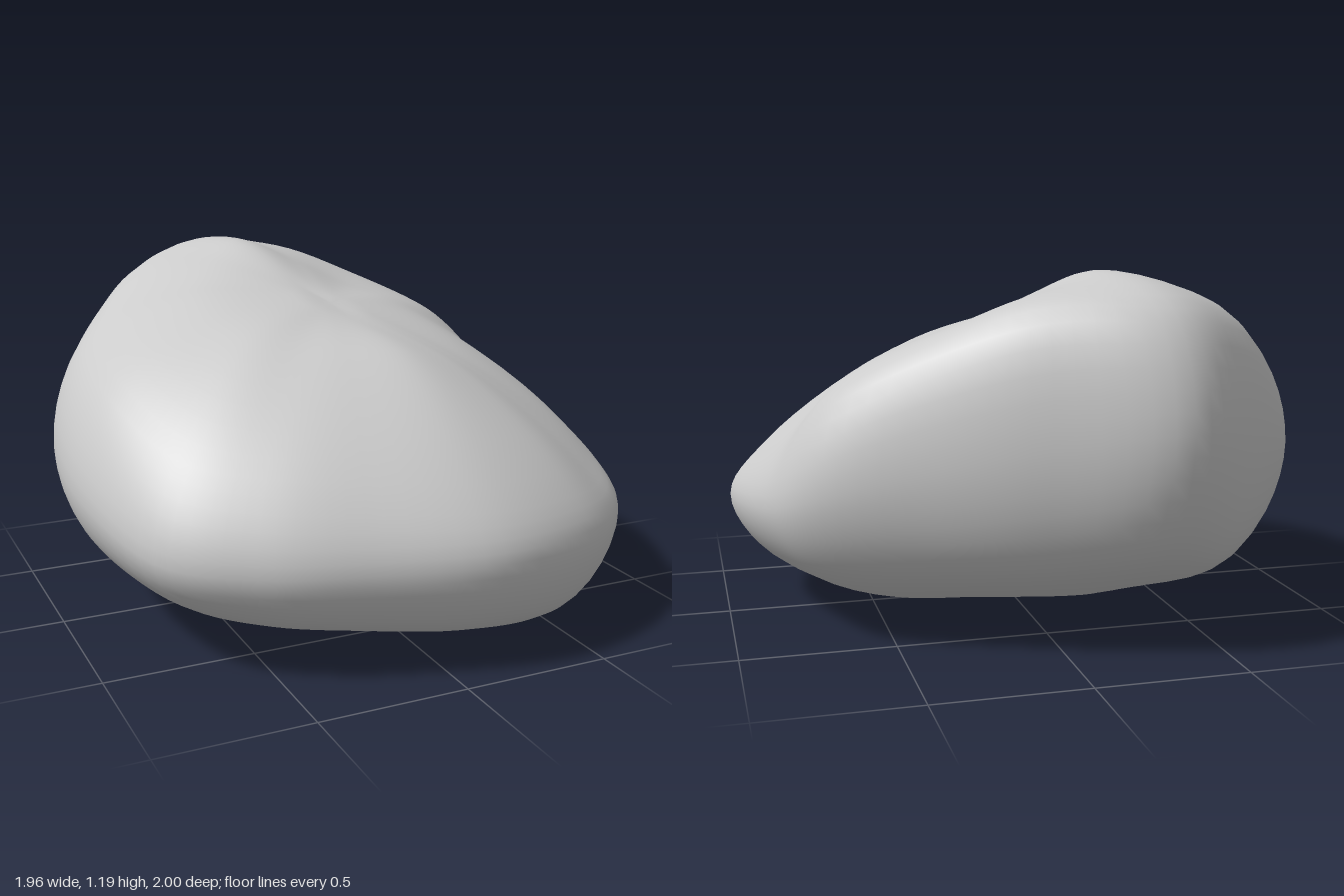
import * as THREE from 'three';
import { mergeVertices } from 'three/addons/utils/BufferGeometryUtils.js';

// Middle of the top and of the underside: height and slope along x and z
const CREST = { y: 1.03, slopeX: -0.2, slopeZ: -0.2 };
const BASE = { y: 0.05, slopeX: -0.05, slopeZ: -0.08 };
const CAP = 0.14, INNER = 0.5, OUTER = 0.88; // positions between middle and rim

// Columns round the stone: rim x, rim z, then heights from top to bottom:
// inner top, outer top, rim, outer underside, inner underside
const COLUMNS = [
  [0.98, 0.1, 0.86, 0.58, 0.40, 0.20, 0.06],
  [0.9, 0.45, 0.82, 0.53, 0.37, 0.17, 0.035],
  [0.75, 0.7, 0.83, 0.53, 0.36, 0.10, 0.015],
  [0.5, 0.9, 0.87, 0.58, 0.37, 0.10, 0.01],
  [0.12, 1.0, 0.92, 0.61, 0.39, 0.15, 0.025],
  [-0.3, 0.91, 0.94, 0.64, 0.39, 0.18, 0.05],
  [-0.6, 0.8, 0.95, 0.66, 0.39, 0.20, 0.07],
  [-0.85, 0.6, 0.98, 0.70, 0.41, 0.23, 0.09],
  [-0.97, 0.2, 1.02, 0.82, 0.50, 0.26, 0.11],
  [-0.95, -0.22, 1.06, 0.88, 0.56, 0.26, 0.11],
  [-0.84, -0.48, 1.09, 0.95, 0.60, 0.26, 0.12],
  [-0.6, -0.77, 1.15, 1.07, 0.66, 0.26, 0.12],
  [-0.3, -1.0, 1.20, 1.11, 0.75, 0.36, 0.13],
  [0.1, -0.89, 1.12, 1.11, 0.70, 0.32, 0.12],
  [0.45, -0.74, 1.03, 1.0, 0.62, 0.29, 0.11],
  [0.79, -0.55, 0.97, 0.83, 0.51, 0.26, 0.09],
  [0.9, -0.3, 0.92, 0.68, 0.44, 0.23, 0.07],
];

// Point of the gently tilted cap round a middle
const capPoint = ({ y, slopeX, slopeZ }, x, z) => new THREE.Vector3(x, y + x * slopeX + z * slopeZ, z);

// Smooth profile from the middle of the top, over the rim, to the middle of the underside
function columnProfile([x, z, ...heights], steps) {
  const reach = [INNER, OUTER, 1, OUTER, INNER];
  const points = [
    capPoint(CREST, 0, 0),
    capPoint(CREST, x * CAP, z * CAP),
    ...heights.map((y, i) => new THREE.Vector3(x * reach[i], y, z * reach[i])),
    capPoint(BASE, x * CAP, z * CAP),
    capPoint(BASE, 0, 0),
  ];
  return new THREE.CatmullRomCurve3(points, false, 'centripetal').getPoints(steps);
}

function stoneGeometry(levels = 48, around = 102) {
  const profiles = COLUMNS.map((column) => columnProfile(column, levels));
  const positions = [];
  const indices = [];

  for (let i = 0; i <= levels; i++) {
    // Each level is a closed curve through all the columns
    const ring = profiles.map((profile) => profile[i]);
    const pole = i === 0 || i === levels;
    const curve = new THREE.CatmullRomCurve3(ring, true, 'catmullrom', 0.5);
    for (let j = 0; j < around; j++) {
      const p = pole ? ring[0] : curve.getPoint(j / around);
      positions.push(p.x, p.y, p.z);
    }
  }

  for (let i = 0; i < levels; i++) {
    for (let j = 0; j < around; j++) {
      const k = (j + 1) % around;
      const a = i * around + j, b = i * around + k;
      const c = a + around, d = b + around;
      if (i > 0) indices.push(a, b, c);
      if (i < levels - 1) indices.push(b, d, c);
    }
  }

  let geometry = new THREE.BufferGeometry();
  geometry.setAttribute('position', new THREE.Float32BufferAttribute(positions, 3));
  geometry.setIndex(indices);
  geometry = mergeVertices(geometry); // one vertex at each pole

  // Centre the stone and stand it on the ground
  geometry.computeBoundingBox();
  const box = geometry.boundingBox;
  const centre = box.getCenter(new THREE.Vector3());
  geometry.translate(-centre.x, -box.min.y, -centre.z);
  geometry.computeVertexNormals();
  return geometry;
}

export function createModel() {
  const group = new THREE.Group();
  group.name = 'rock';
  const stone = new THREE.Mesh(stoneGeometry(), new THREE.MeshStandardMaterial({ color: 0xcccccc }));
  stone.name = 'stone';
  group.add(stone);
  return group;
}
